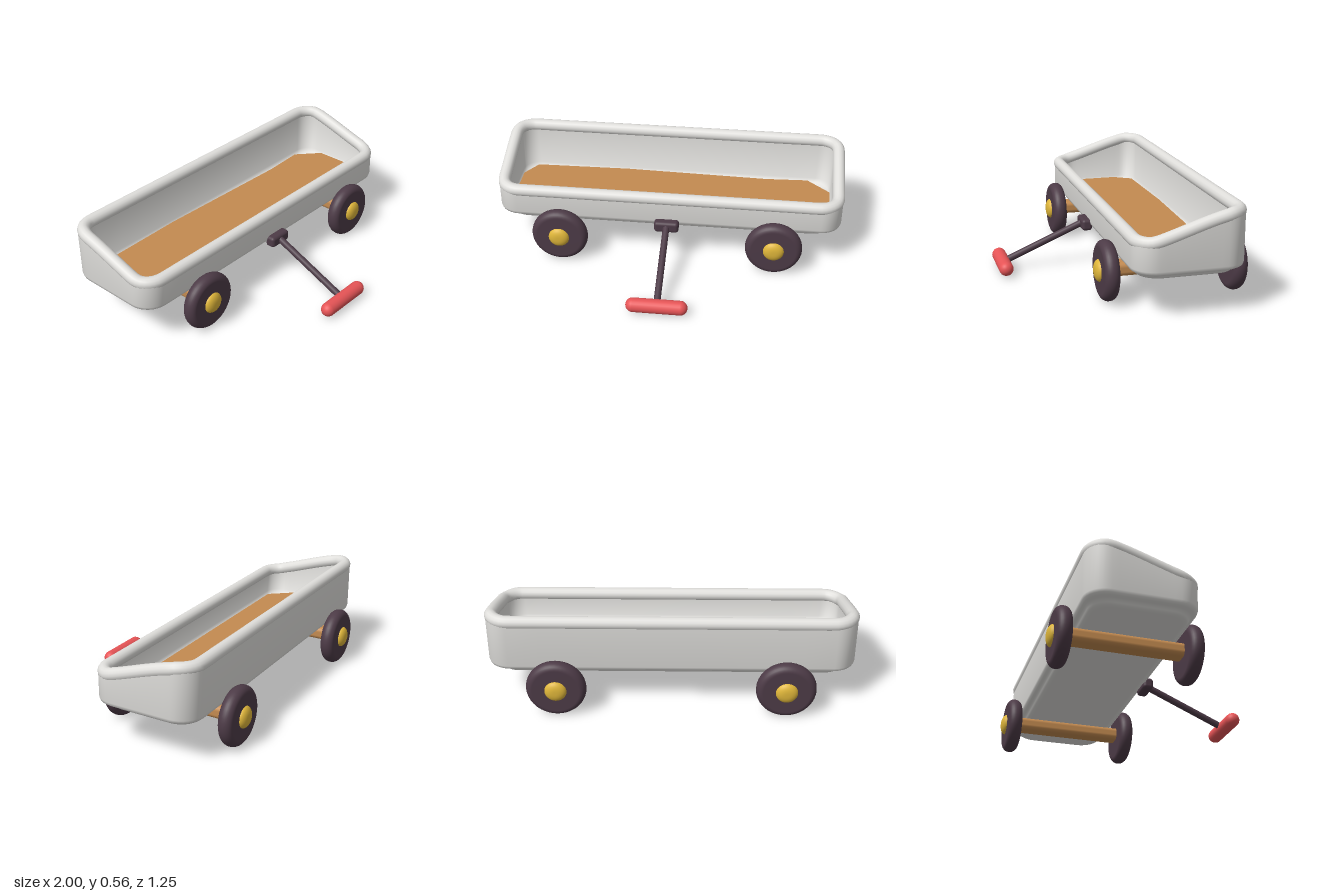
import * as THREE from 'three';
import { toCreasedNormals } from 'three/addons/utils/BufferGeometryUtils.js';
import { RoundedBoxGeometry } from 'three/addons/geometries/RoundedBoxGeometry.js';

const TRAY_Z = -0.212;

// Rounded rectangle around the tray centre, as [x, z] pairs
function roundedLoop(hx, hz, radius, perCorner = 9) {
  const pts = [];
  const r = Math.min(radius, hx, hz);
  const signs = [[1, 1], [-1, 1], [-1, -1], [1, -1]];
  const at = (corner, a) => [
    signs[corner][0] * (hx - r) + r * Math.cos(a),
    TRAY_Z + signs[corner][1] * (hz - r) + r * Math.sin(a)];
  for (let corner = 0; corner < 4; corner++) {
    for (let i = 0; i < perCorner; i++) pts.push(at(corner, (corner + i / (perCorner - 1)) * Math.PI / 2));
    // extra points along the next side
    const end = (corner + 1) * Math.PI / 2;
    const from = at(corner, end), to = at((corner + 1) % 4, end);
    for (let i = 1; i < 10; i++) {
      pts.push([from[0] + (to[0] - from[0]) * i / 10, from[1] + (to[1] - from[1]) * i / 10]);
    }
  }
  return pts;
}

// Centre height of the rim, rising smoothly to the back
const rimHeight = z => 0.395 + 0.127 * (0.35 * THREE.MathUtils.smoothstep(-z, -0.06, 0.42)
  + 0.65 * THREE.MathUtils.clamp(-z / 0.42, 0, 1));

// Skin through rings of [halfX, halfZ, cornerRadius, y]; y null follows the rim
function trayGeometry(rings) {
  const pos = [], index = [];
  let n = 0;
  for (const [hx, hz, r, y] of rings) {
    const loop = roundedLoop(hx, hz, r);
    n = loop.length;
    for (const [x, z] of loop) pos.push(x, y === null ? rimHeight(z) : y, z);
  }
  for (let i = 0; i < rings.length - 1; i++) {
    for (let j = 0; j < n; j++) {
      const a = i * n + j, b = i * n + (j + 1) % n;
      index.push(a, a + n, b, b, a + n, b + n);
    }
  }
  const g = new THREE.BufferGeometry();
  g.setAttribute('position', new THREE.Float32BufferAttribute(pos, 3));
  g.setIndex(index);
  return toCreasedNormals(g, 1.1);
}

export function createModel() {
  const group = new THREE.Group();
  const mat = (name, color) => {
    const m = new THREE.MeshStandardMaterial({ color });
    m.name = name;
    return m;
  };
  const grey = mat('light grey', 0xe0dfdc);
  const wood = mat('wood brown', 0xc48b50);
  const dark = mat('dark plum', 0x4d3b47);
  const yellow = mat('hub yellow', 0xdfb63a);
  const red = mat('grip red', 0xe85557);

  const add = (name, geometry, material, x = 0, y = 0, z = 0) => {
    const mesh = new THREE.Mesh(geometry, material);
    mesh.name = name;
    mesh.position.set(x, y, z);
    group.add(mesh);
  };

  // Tray: recessed base, outer wall, inner wall and inner bottom
  add('tray', trayGeometry([
    [0, 0, 0, 0.205],
    [0.915, 0.235, 0.1, 0.205],
    [0.933, 0.253, 0.11, 0.209],
    [0.941, 0.261, 0.11, 0.219],
    [0.946, 0.265, 0.11, 0.229],
    [0.96, 0.272, 0.11, 0.235],
    [0.977, 0.283, 0.12, 0.238],
    [0.988, 0.293, 0.12, 0.246],
    [0.992, 0.297, 0.12, 0.262],
    [0.992, 0.297, 0.12, null],
    [0.942, 0.247, 0.09, null],
    [0.938, 0.243, 0.09, 0.27],
    [0.925, 0.23, 0.09, 0.25],
    [0, 0, 0, 0.25],
  ]), grey);

  // Rolled rim
  const rimPoints = roundedLoop(0.964, 0.27, 0.105)
    .map(([x, z]) => new THREE.Vector3(x, rimHeight(z), z));
  add('rim', new THREE.TubeGeometry(
    new THREE.CatmullRomCurve3(rimPoints, true), 240, 0.035, 14, true), grey);

  // Floor board with cut corners
  const board = new THREE.Shape([
    [-0.93, -0.33], [-0.86, -0.435], [-0.3, -0.447], [0.55, -0.425], [0.8, -0.437], [0.93, -0.32],
    [0.93, -0.1], [0.86, 0.012], [-0.82, 0.012], [-0.93, -0.12],
  ].map(([x, z]) => new THREE.Vector2(x, -z)));
  const floor = new THREE.ExtrudeGeometry(board, { depth: 0.015, bevelEnabled: false });
  floor.rotateX(-Math.PI / 2);
  add('floorBoard', floor, wood, 0, 0.247, 0);

  // Disc turned about z: flat faces and a rounded edge
  const disc = (radius, half, edge) => {
    const profile = [new THREE.Vector2(0, -half)];
    for (let i = 0; i <= 14; i++) {
      const a = -Math.PI / 2 + Math.PI * i / 14;
      profile.push(new THREE.Vector2(radius - edge + edge * Math.cos(a), half * Math.sin(a)));
    }
    profile.push(new THREE.Vector2(0, half));
    return new THREE.LatheGeometry(profile, 40).rotateX(Math.PI / 2);
  };
  const tyre = disc(0.162, 0.04, 0.036);
  const hub = disc(0.06, 0.03, 0.05);

  // Axles, wheels and hubs
  for (const x of [-0.615, 0.615]) {
    add('axle', new RoundedBoxGeometry(0.105, 0.075, 0.66, 4, 0.026), wood, x, 0.172, -0.21);
    for (const [z, out] of [[0.136, 1], [-0.557, -1]]) {
      add('wheel', tyre, dark, x, 0.162, z);
      add('hub', hub, yellow, x, 0.164, z + out * 0.036);
    }
  }

  // Pull handle: bracket, rod and grip
  add('handleBracket', new RoundedBoxGeometry(0.14, 0.065, 0.06, 3, 0.018), dark, 0, 0.242, 0.1);
  add('handleRod', new THREE.TubeGeometry(new THREE.LineCurve3(
    new THREE.Vector3(0, 0.242, 0.12), new THREE.Vector3(0, 0.045, 0.58)), 1, 0.019, 16), dark);
  const grip = new THREE.CapsuleGeometry(0.04, 0.26, 10, 24);
  grip.rotateZ(Math.PI / 2);
  add('handleGrip', grip, red, 0, 0.045, 0.582);

  return group;
}
